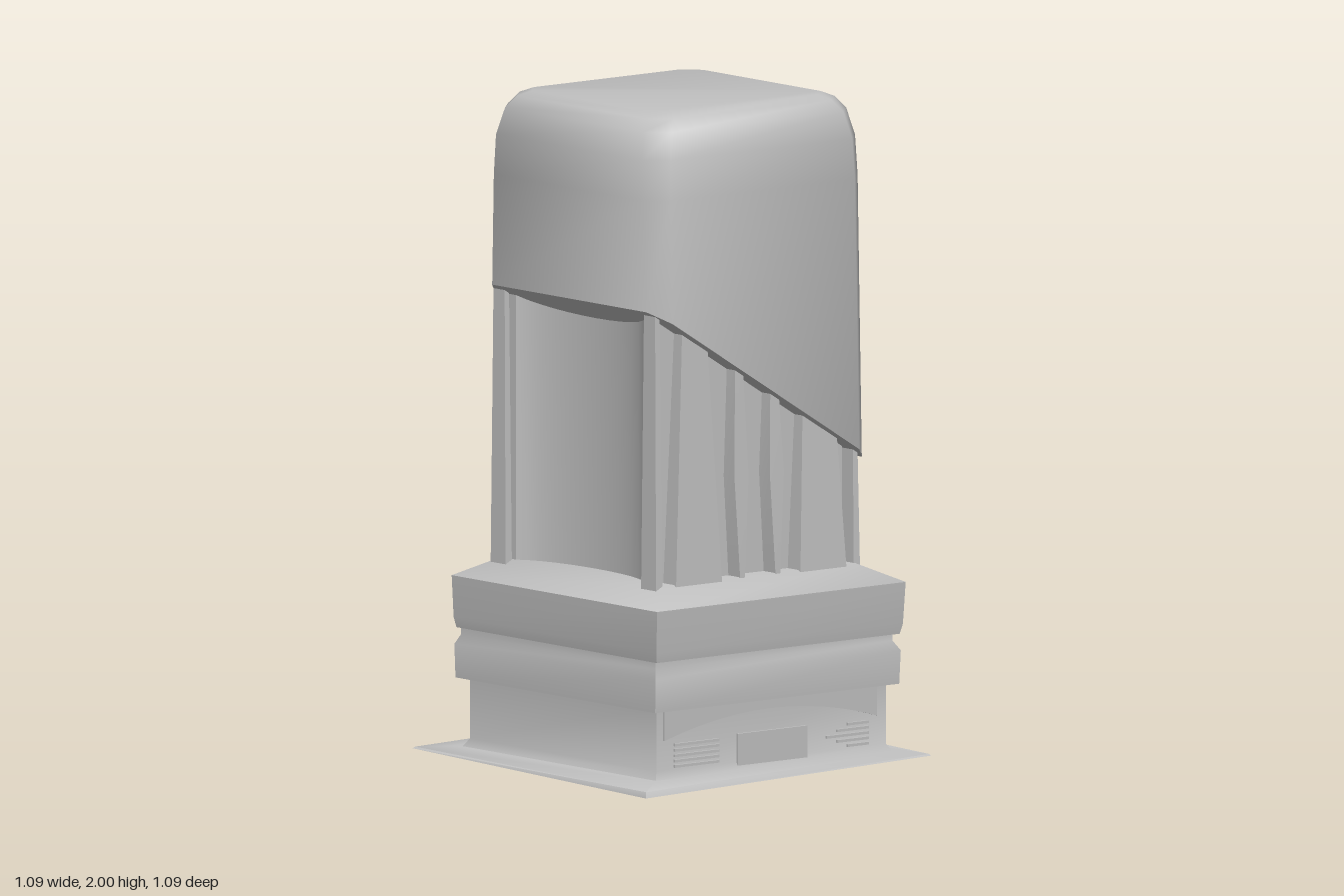
import * as THREE from 'three';
import { toCreasedNormals } from 'three/addons/utils/BufferGeometryUtils.js';

// Rectangular ring with optional chamfered corners; y may be a function of x and z
function ring(x0, x1, z0, z1, y, c = 0) {
  const flat = c > 0
    ? [[x1, z1 - c], [x1, z0 + c], [x1 - c, z0], [x0 + c, z0], [x0, z0 + c], [x0, z1 - c], [x0 + c, z1], [x1 - c, z1]]
    : [[x1, z1], [x1, z0], [x0, z0], [x0, z1]];
  return flat.map(([x, z]) => [x, typeof y === 'function' ? y(x, z) : y, z]);
}

// Solid skinned through rings from bottom to top, closed at both ends
function loft(rings, crease = 0.95) {
  const n = rings[0].length, pos = [], index = [];
  rings.forEach((r) => r.forEach((p) => pos.push(...p)));
  for (let k = 0; k < rings.length - 1; k++) {
    for (let i = 0; i < n; i++) {
      const a = k * n + i, b = k * n + (i + 1) % n;
      index.push(a, b, b + n, a, b + n, a + n);
    }
  }
  const last = (rings.length - 1) * n;
  for (let i = 1; i < n - 1; i++) {
    index.push(0, i + 1, i);
    index.push(last, last + i, last + i + 1);
  }
  const g = new THREE.BufferGeometry();
  g.setAttribute('position', new THREE.Float32BufferAttribute(pos, 3));
  g.setIndex(index);
  return toCreasedNormals(g, crease);
}

export function createModel() {
  const model = new THREE.Group();
  const grey = new THREE.MeshStandardMaterial({ color: 0xc0c0c0 });
  grey.name = 'stone grey';

  const add = (name, geometry) => {
    const mesh = new THREE.Mesh(geometry, grey);
    mesh.name = name;
    model.add(mesh);
    return mesh;
  };
  const box = (name, x0, x1, y0, y1, z0, z1) => {
    const g = new THREE.BoxGeometry(x1 - x0, y1 - y0, z1 - z0);
    g.translate((x0 + x1) / 2, (y0 + y1) / 2, (z0 + z1) / 2);
    return add(name, g);
  };

  // Ground plate, slightly tilted underneath
  const tilt = (x, z) => 0.025 + 0.023 * (x - z);
  add('groundPlate', loft([
    ring(-0.545, 0.545, -0.545, 0.54, (x, z) => Math.max(0, tilt(x, z))),
    ring(-0.54, 0.54, -0.54, 0.535, (x, z) => Math.max(0.018, tilt(x, z) + 0.005)),
    ring(-0.47, 0.47, -0.45, 0.49, 0.036),
  ]));

  // Plinth and the two stepped bands above it
  add('plinth', loft([
    ring(-0.455, 0.46, -0.43, 0.475, 0.03),
    ring(-0.435, 0.442, -0.412, 0.455, 0.06),
    ring(-0.435, 0.442, -0.412, 0.455, 0.25),
  ]));
  add('lowerBand', loft([
    ring(-0.462, 0.47, -0.447, 0.482, 0.24),
    ring(-0.464, 0.472, -0.45, 0.487, 0.34),
    ring(-0.455, 0.45, -0.43, 0.475, 0.37),
    ring(-0.455, 0.45, -0.43, 0.475, 0.40),
  ]));
  add('upperBand', loft([
    ring(-0.46, 0.468, -0.445, 0.487, 0.39),
    ring(-0.465, 0.476, -0.452, 0.492, 0.42),
    ring(-0.47, 0.48, -0.455, 0.5, 0.545),
    ring(-0.36, 0.37, -0.36, 0.4, 0.6),
  ], 0.7));
  box('bandSlit', 0.472, 0.481, 0.418, 0.43, -0.25, 0.42);

  // Tower core with a curved recess in each side
  const plan = new THREE.Shape();
  plan.moveTo(-0.36, -0.35);
  plan.lineTo(0.36, -0.35);
  plan.lineTo(0.36, -0.31);
  plan.bezierCurveTo(0.27, -0.2, 0.27, 0.2, 0.36, 0.29);
  plan.lineTo(0.36, 0.33);
  plan.lineTo(-0.36, 0.33);
  plan.lineTo(-0.36, 0.29);
  plan.bezierCurveTo(-0.27, 0.2, -0.27, -0.2, -0.36, -0.31);
  const core = new THREE.ExtrudeGeometry(plan, { depth: 0.9, bevelEnabled: false, curveSegments: 12 });
  core.rotateX(-Math.PI / 2);
  core.translate(0, 0.57, 0);
  add('towerCore', toCreasedNormals(core, 0.6));

  // Fins on front and back: broad tapering slabs and slim spindles
  const capEdge = (x) => 1.167 - 0.618 * x;
  for (const side of [1, -1]) {
    const z = (out) => (side > 0 ? [0.34, out] : [-out + 0.02, -0.32]);
    const name = side > 0 ? 'front' : 'back';
    for (const x of [-0.235, 0.24]) {
      const top = capEdge(x) + 0.1;
      const w = 0.088 - 0.055 * (top - 0.59);
      add(name + 'Slab', loft([
        ring(x - 0.088, x + 0.088, ...z(0.41), 0.59),
        ring(x - w, x + w, ...z(0.385), top),
      ]));
    }
    for (const x of [-0.065, 0.07]) {
      add(name + 'Spindle', loft([
        ring(x - 0.008, x + 0.008, ...z(0.405), 0.58),
        ring(x - 0.027, x + 0.027, ...z(0.4), 0.9),
        ring(x - 0.012, x + 0.012, ...z(0.385), capEdge(x) + 0.1),
      ], 0.4));
    }
    // Slender posts at the corners
    for (const x of [-0.375, 0.38]) {
      const zc = side > 0 ? 0.36 : -0.34;
      const top = capEdge(x) + 0.1;
      add(name + 'CornerPost', loft([
        ring(x - 0.012, x + 0.012, zc - 0.035, zc + 0.035, 0.57),
        ring(x - 0.008, x + 0.008, zc - 0.025, zc + 0.025, top),
      ]));
    }
  }

  // Slant-cut hood with softened upper edges
  const hood = [
    ring(-0.408, 0.415, -0.397, 0.43, (x) => capEdge(x), 0.055),
    ring(-0.41, 0.413, -0.392, 0.418, 1.75, 0.06),
    ring(-0.405, 0.408, -0.388, 0.412, 1.87, 0.06),
    ring(-0.385, 0.39, -0.37, 0.393, 1.95, 0.06),
    ring(-0.36, 0.365, -0.345, 0.368, 1.985, 0.06),
    ring(-0.325, 0.33, -0.31, 0.335, 2.0, 0.05),
  ];
  add('hood', loft(hood, 1.0));

  // Front panel and louvred vents
  box('frontPanel', -0.13, 0.135, 0.05, 0.145, 0.45, 0.463);
  for (let i = 0; i < 5; i++) {
    const y = 0.066 + i * 0.016;
    box('leftVentSlat', -0.37, -0.2, y, y + 0.008, 0.45, 0.463);
    const reach = 0.16 - Math.abs(i - 2) * 0.04;
    box('rightVentSlat', 0.37 - reach, 0.37, y, y + 0.008, 0.45, 0.463);
  }
  // Shallow arched brow above the vents
  const brow = new THREE.Shape();
  brow.moveTo(-0.41, 0.24);
  brow.lineTo(-0.41, 0.15);
  brow.quadraticCurveTo(0, 0.27, 0.4, 0.15);
  brow.lineTo(0.4, 0.24);
  const browGeo = new THREE.ExtrudeGeometry(brow, { depth: 0.009, bevelEnabled: false });
  browGeo.translate(0, 0, 0.454);
  add('frontBrow', browGeo);

  // Side panel with two upright brackets
  box('sidePanel', 0.43, 0.466, 0.1, 0.228, -0.36, 0.11);
  for (const z of [-0.005, -0.242]) {
    add('sideBracket', loft([
      ring(0.43, 0.498, z - 0.034, z + 0.034, 0.05),
      ring(0.43, 0.494, z - 0.03, z + 0.03, 0.2),
      ring(0.45, 0.484, z - 0.025, z + 0.025, 0.315),
    ]));
  }
  return model;
}
